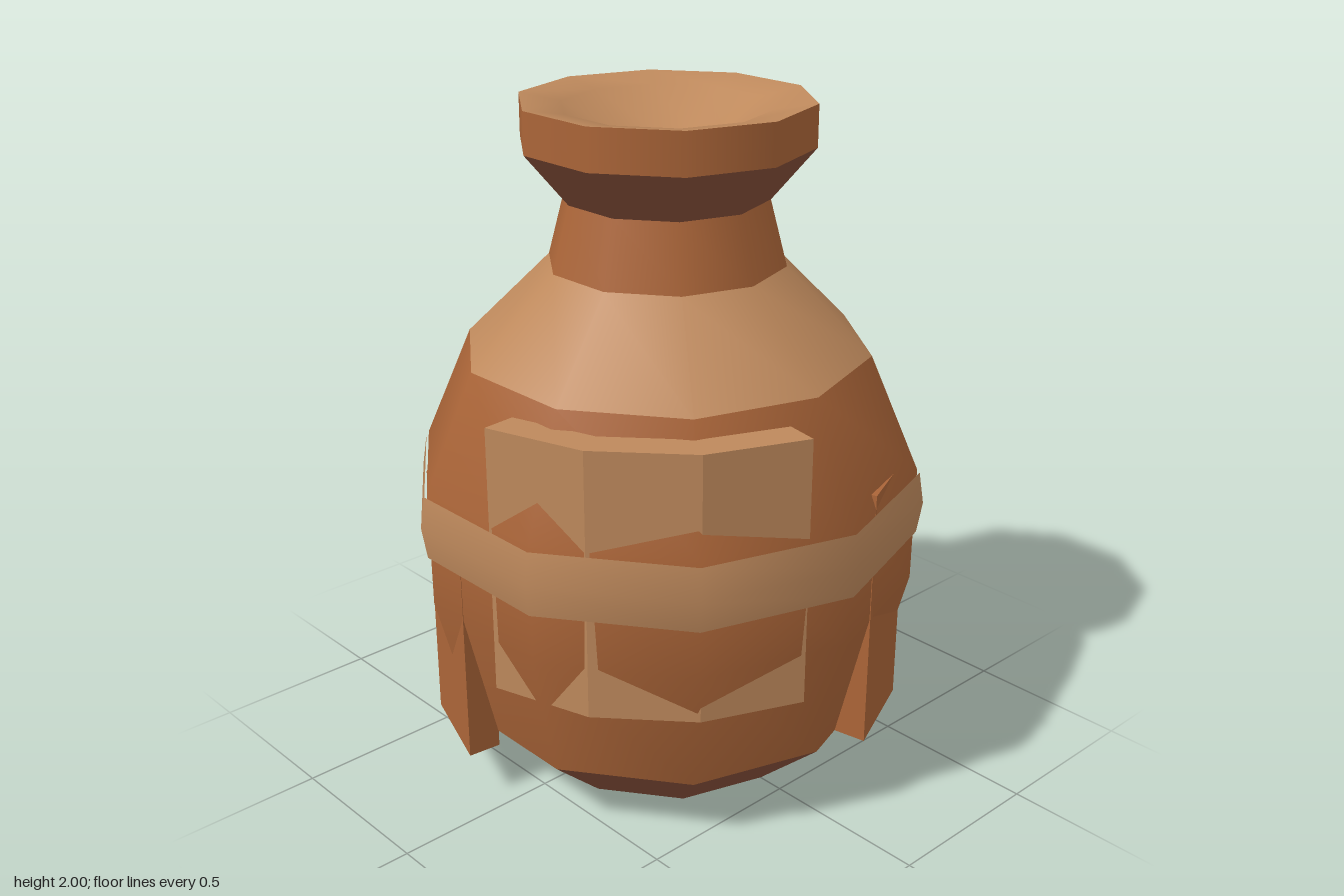
import * as THREE from 'three';

const SIDES = 10;

function material(name, color) {
  const m = new THREE.MeshStandardMaterial({ color });
  m.name = name;
  return m;
}

export function createModel() {
  const group = new THREE.Group();
  const clay = material('orange clay', 0xab6538);
  const tan = material('tan clay', 0xbe895c);
  const brown = material('brown clay', 0x88513b);

  const add = (name, geometry, mat) => {
    const mesh = new THREE.Mesh(geometry, mat);
    mesh.name = name;
    group.add(mesh);
  };

  // Ten-sided turned section, profile given as [radius, height]
  const turned = (name, profile, mat) => add(name,
    new THREE.LatheGeometry(profile.map(([r, y]) => new THREE.Vector2(r, y)), SIDES), mat);

  // Pot, from the foot up to the mouth, with a sharp edge between sections
  turned('base', [[0, 0], [0.42, 0]], brown);
  turned('foot', [[0.42, 0], [0.64, 0.2]], brown);
  turned('body', [[0.64, 0.2], [0.74, 0.6], [0.742, 0.95], [0.595, 1.29]], clay);
  turned('shoulder', [[0.595, 1.29], [0.345, 1.54]], tan);
  turned('neck', [[0.345, 1.54], [0.295, 1.73]], clay);
  turned('lipUnderside', [[0.295, 1.73], [0.42, 1.88]], brown);
  turned('rim', [[0.42, 1.88], [0.42, 2]], clay);
  turned('mouth', [[0.42, 2], [0.3, 1.98], [0.15, 1.87], [0, 1.85]], tan);

  // Raised belt standing just clear of the body
  turned('belt', [[0.75, 0.75], [0.765, 0.845], [0.75, 0.94]], tan);

  // Curved plate in three flat segments; angles run from +x towards +z
  const plate = (name, startDeg, endDeg, bottom, top, mat) => {
    const outer = [], inner = [];
    for (let i = 0; i <= 3; i++) {
      const a = THREE.MathUtils.degToRad(startDeg + (endDeg - startDeg) * i / 3);
      outer.push(new THREE.Vector2(0.711 * Math.cos(a), -0.711 * Math.sin(a)));
      inner.unshift(new THREE.Vector2(0.612 * Math.cos(a), -0.612 * Math.sin(a)));
    }
    const geometry = new THREE.ExtrudeGeometry(new THREE.Shape([...outer, ...inner]),
      { depth: top - bottom, bevelEnabled: false });
    geometry.rotateX(-Math.PI / 2);
    geometry.translate(0, bottom, 0);
    add(name, geometry, mat);
  };

  plate('upperPlateFront', 100.5, 175, 0.45, 1.24, tan);
  plate('upperPlateBack', -82, -7.5, 0.5, 1.285, tan);
  plate('lowerPlateFront', 4, 78.5, 0.2, 0.99, clay);
  plate('lowerPlateBack', 187, 261.5, 0.15, 0.94, clay);

  return group;
}
